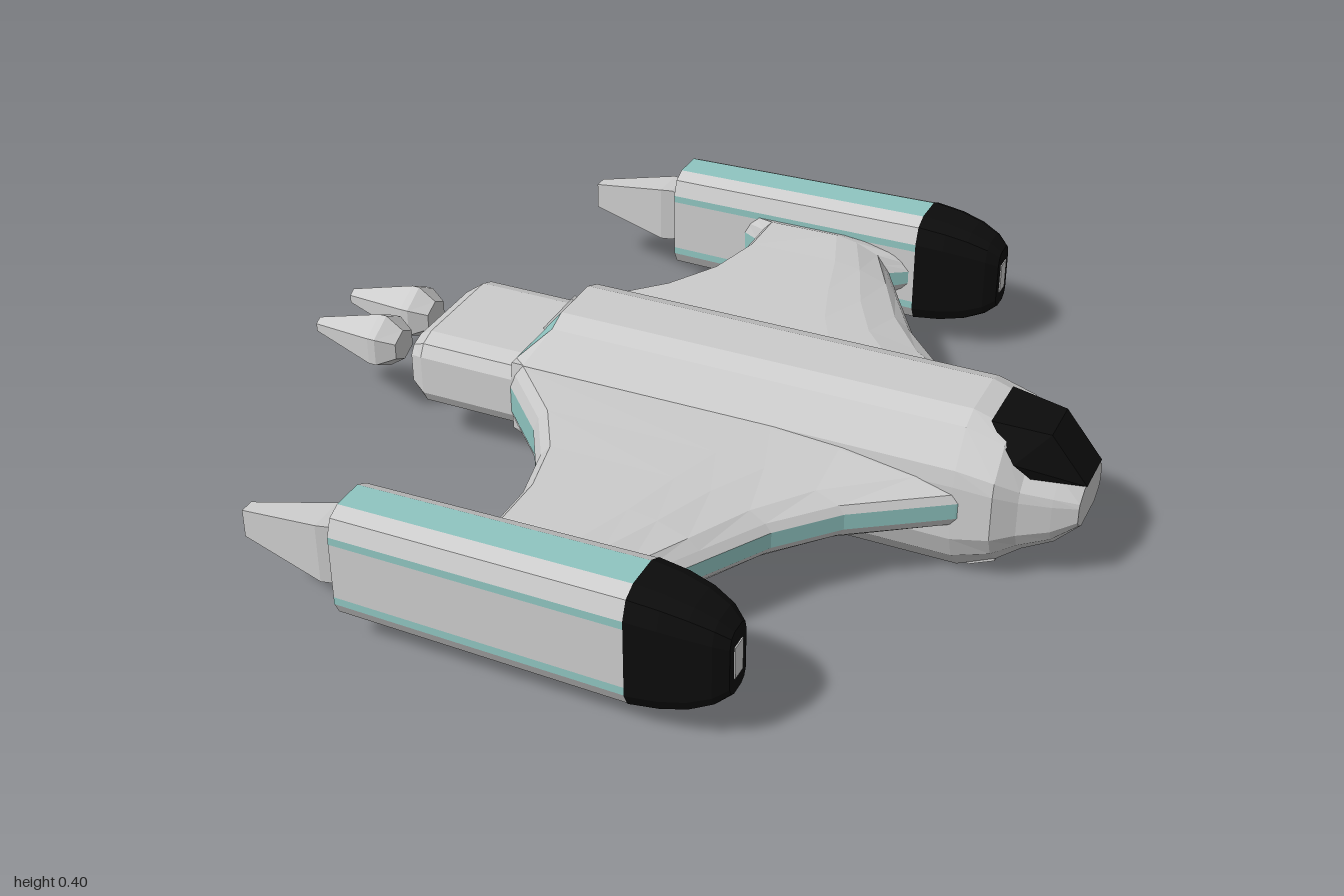
import * as THREE from 'three';
import { ConvexGeometry } from 'three/addons/geometries/ConvexGeometry.js';

const paint = (color) => new THREE.MeshStandardMaterial({ color, flatShading: true });
const GREY = paint(0xcccccc), TEAL = paint(0x8fc4c0), BLACK = paint(0x0c0c0c);
const V = (x, y, z) => new THREE.Vector3(x, y, z);

// Skins a row of equal-length rings; pick(ring, side) chooses the material of each panel.
function loft(name, rings, pick = () => GREY) {
  const n = rings[0].length, lists = new Map();
  const centre = (r) => r.reduce((a, p) => a.add(p), V(0, 0, 0)).divideScalar(r.length);
  const tris = [];
  for (let i = 0; i < rings.length - 1; i++) {
    for (let j = 0; j < n; j++) {
      const k = (j + 1) % n, a = rings[i][j], b = rings[i][k], c = rings[i + 1][k], d = rings[i + 1][j];
      tris.push([a, b, c, pick(i, j)], [a, c, d, pick(i, j)]);
    }
  }
  const last = rings.length - 1, c0 = centre(rings[0]), c1 = centre(rings[last]);
  for (let j = 0; j < n; j++) {
    const k = (j + 1) % n;
    tris.push([rings[0][k], rings[0][j], c0, pick(0, -1)]);
    tris.push([rings[last][j], rings[last][k], c1, pick(last, -1)]);
  }
  // the enclosed volume tells which way the faces turn
  let volume = 0;
  for (const [a, b, c] of tris) volume += a.dot(b.clone().cross(c));
  for (const [a, b, c, m] of tris) {
    if (!lists.has(m)) lists.set(m, []);
    for (const p of volume > 0 ? [a, b, c] : [a, c, b]) lists.get(m).push(p.x, p.y, p.z);
  }
  const group = new THREE.Group();
  group.name = name;
  for (const [m, list] of lists) {
    const g = new THREE.BufferGeometry();
    g.setAttribute('position', new THREE.Float32BufferAttribute(list, 3));
    g.computeVertexNormals();
    const mesh = new THREE.Mesh(g, m);
    mesh.name = name + (m === TEAL ? 'Trim' : 'Shell');
    group.add(mesh);
  }
  return group;
}

function box(name, size, pos, mat = GREY) {
  const mesh = new THREE.Mesh(new THREE.BoxGeometry(...size), mat);
  mesh.position.set(...pos);
  mesh.name = name;
  return mesh;
}

// half outline of [z, y] pairs from top to bottom, closed by its mirror image
const mirror = (half) => [...half, ...half.slice().reverse().map(([z, y]) => [-z, y])];

function hull() {
  const half = [[0.07, 0.4], [0.12, 0.38], [0.18, 0.3], [0.187, 0.26], [0.187, 0.12], [0.165, 0.06], [0.11, 0]];
  const section = mirror(half);
  const ring = (x, w, lo, hi) => section.map(([z, y]) => V(x, lo + (hi - lo) * y / 0.4, z * w));
  const rear = section.map(([z, y]) => V(-0.39, THREE.MathUtils.clamp(y, 0.11, 0.3), Math.sign(z) * Math.max(Math.abs(z), y > 0.35 ? Math.abs(z) * 1.3 : 0)));
  const shoulder = section.map(([z, y]) => V(y > 0.35 ? -0.31 : y > 0.28 ? -0.36 : y > 0.1 ? -0.38 : -0.25 - y, y, z));
  const top = section.length - 1;
  return loft('hull', [
    rear, shoulder, ring(0.72, 1, 0, 0.4), ring(0.81, 0.98, 0.04, 0.37),
    ring(0.86, 0.79, 0.07, 0.32), ring(0.93, 0.64, 0.1, 0.29), ring(0.985, 0.5, 0.15, 0.255),
  ], (i, j) => (i === 0 && (j === top || j === 0 || j === top - 1) ? TEAL : GREY));
}

// Rear block with a recessed opening
function tailBlock() {
  const section = mirror([[0.13, 0.095], [0.17, 0.08], [0.187, 0.05], [0.187, -0.05], [0.17, -0.08], [0.13, -0.095]]);
  const ring = (x, w, h) => section.map(([z, y]) => V(x, 0.205 + y * h, z * w));
  return loft('tailBlock', [
    ring(-0.6, 0.66, 0.52), ring(-0.68, 0.7, 0.55), ring(-0.68, 0.88, 0.72),
    ring(-0.64, 1, 1), ring(-0.34, 1, 1),
  ], (i) => (i === 0 ? BLACK : GREY));
}

// Swept wing, ending in a flared foot at the pod
function wing(s) {
  // z, trailing x, leading x, thickness
  const stations = [
    [0.15, -0.43, 0.78, 1], [0.19, -0.39, 0.73, 1], [0.33, -0.255, 0.52, 1], [0.46, -0.18, 0.4, 1],
    [0.61, -0.145, 0.31, 1], [0.745, -0.145, 0.23, 1], [0.79, -0.21, 0.29, 0.8],
  ];
  const rings = stations.map(([z, t, l, h]) => {
    const c = l - t;
    const upper = [
      [t, 0.035], [t + 0.015, 0.07], [t + 0.04, 0.098], [l - 0.4 * c, 0.1],
      [l - 0.25 * c, 0.09], [l - 0.09 * c, 0.065], [l - 0.015, 0.04], [l, 0.02],
    ];
    return [...upper, ...upper.slice().reverse().map(([x, y]) => [x, -y])].map(([x, y]) => V(x, 0.2 + y * h, z * s));
  });
  return loft(s > 0 ? 'leftWing' : 'rightWing', rings, (i, j) => (j === 7 || j === 15 ? TEAL : GREY));
}

// Faceted spike along x; each station is x, half height, half width
function spike(name, z, stations, sides) {
  return loft(name, stations.map(([x, h, w]) => Array.from({ length: sides }, (_, i) => {
    const a = (i + 0.5) / sides * Math.PI * 2, k = 1 / Math.cos(Math.PI / sides);
    return V(x, 0.205 + Math.sin(a) * h * k, z + Math.cos(a) * w * k);
  })));
}

function pod(s) {
  const group = new THREE.Group(), z0 = 0.872 * s;
  group.name = s > 0 ? 'leftPod' : 'rightPod';
  const section = mirror([
    [0.043, 0.15], [0.078, 0.133], [0.095, 0.09], [0.095, 0.07],
    [0.095, -0.08], [0.095, -0.1], [0.078, -0.133], [0.043, -0.15],
  ]);
  const ring = (x, w, h) => section.map(([z, y]) => V(x, 0.21 + y * h, z0 + z * w));
  // sides 2, 4, 10, 12 are thin stripes, 7 and 15 the flat bottom and top
  const striped = [2, 4, 10, 12, 7, 15];
  group.add(loft('podBody', [
    ring(-0.36, 0.76, 0.8), ring(-0.41, 0.8, 0.84), ring(-0.41, 0.93, 0.93), ring(0.29, 1, 1),
  ], (i, j) => (i === 2 && striped.includes(j) ? TEAL : GREY)));
  group.add(loft('podNose', [
    ring(0.288, 1.01, 1.01), ring(0.36, 0.95, 0.95), ring(0.42, 0.84, 0.85), ring(0.47, 0.66, 0.7), ring(0.5, 0.44, 0.53),
  ], () => BLACK));
  group.add(box('noseLamp', [0.01, 0.08, 0.04], [0.498, 0.21, z0]));
  group.add(spike('podSpike', z0, [[-0.68, 0.035, 0.018], [-0.47, 0.075, 0.047], [-0.44, 0.075, 0.04], [-0.35, 0.04, 0.02]], 4));
  return group;
}

export function createModel() {
  const model = new THREE.Group();
  model.name = 'spacecraft';
  model.add(hull(), tailBlock());

  // Dark front canopy
  const points = [V(0.86, 0.24, 0), V(0.78, 0.3, 0)];
  for (const s of [1, -1]) {
    points.push(V(0.765, 0.385, 0.08 * s), V(0.9, 0.372, 0.06 * s), V(0.84, 0.325, 0.142 * s),
      V(0.875, 0.285, 0.12 * s), V(0.99, 0.26, 0.06 * s));
  }
  const canopy = new THREE.Mesh(new ConvexGeometry(points), BLACK);
  canopy.name = 'canopy';
  model.add(canopy);

  // Strut between the rear window panes
  const strut = box('windowStrut', [0.13, 0.012, 0.018], [-0.35, 0.35, 0]);
  strut.rotation.z = Math.atan2(0.1, 0.08);
  model.add(strut);

  for (const s of [1, -1]) {
    model.add(wing(s), pod(s));
    model.add(spike('tailSpike', 0.08 * s, [[-1, 0.018, 0.018], [-0.82, 0.062, 0.065], [-0.8, 0.062, 0.065], [-0.755, 0.035, 0.04]], 6));
    // Panel under the chin
    const panel = box('chinPanel', [0.07, 0.012, 0.07], [0.775, 0.026, 0.075 * s]);
    panel.rotation.z = 0.42;
    model.add(panel);
  }
  return model;
}
